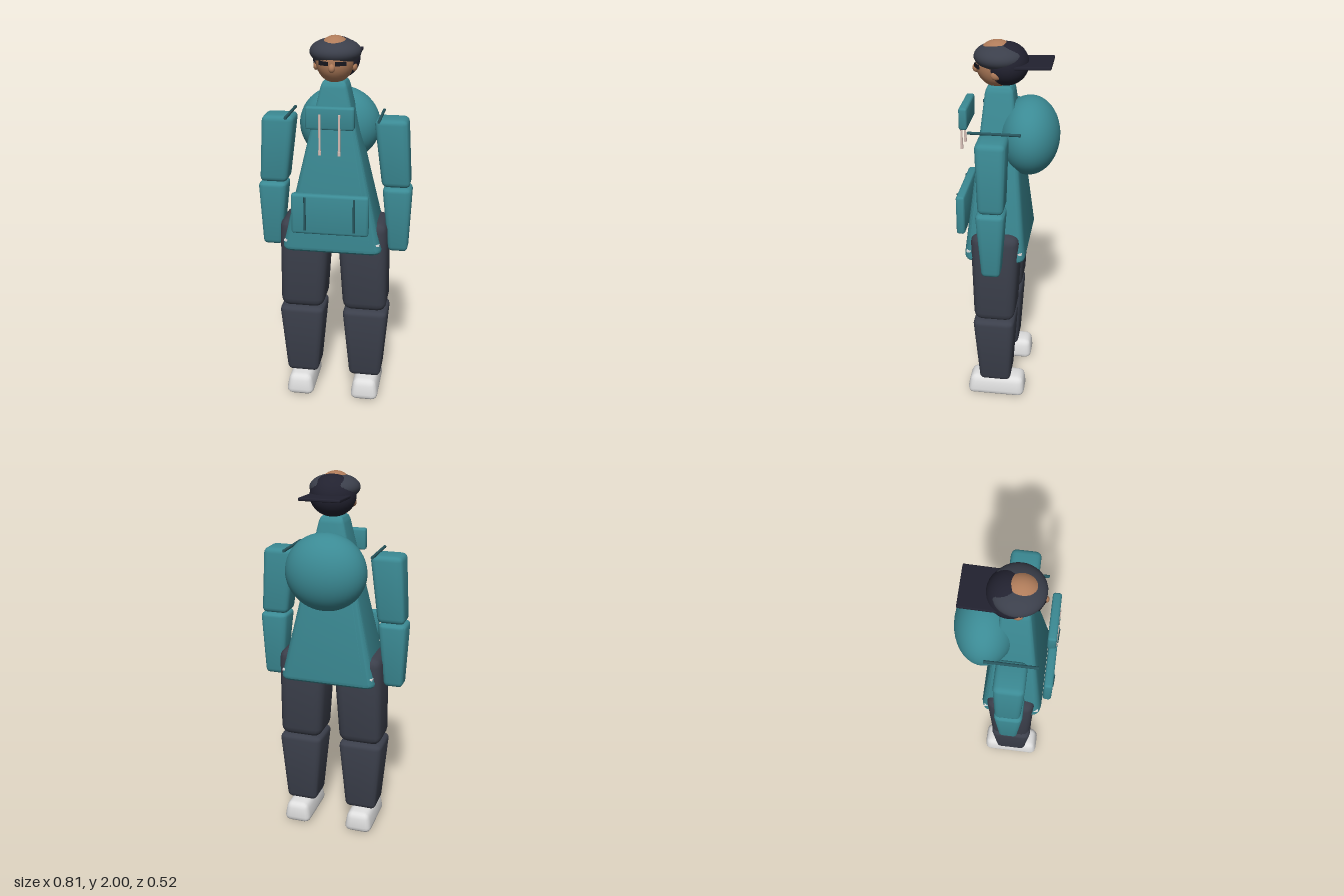
import * as THREE from 'three';
import { RoundedBoxGeometry } from 'three/addons/geometries/RoundedBoxGeometry.js';
import { mergeVertices, toCreasedNormals } from 'three/addons/utils/BufferGeometryUtils.js';

const colours = {
  teal: 0x3b8a94, darkTeal: 0x27565e, slate: 0x3b3f4b, navy: 0x222230,
  skin: 0xb07c5a, white: 0xdedede, cord: 0xdcc4bc, black: 0x17171f,
};

export function createModel() {
  const model = new THREE.Group();
  model.name = 'figure';
  const mats = {};
  for (const [name, color] of Object.entries(colours)) {
    mats[name] = new THREE.MeshStandardMaterial({ color });
    mats[name].name = name;
  }

  function add(name, geo, mat, x = 0, y = 0, z = 0) {
    const mesh = new THREE.Mesh(geo, mats[mat]);
    mesh.name = name;
    mesh.position.set(x, y, z);
    model.add(mesh);
    return mesh;
  }

  // Rounded block tapering from a lower to an upper section: [x0, x1, z0, z1]
  function block(name, mat, y0, y1, low, high, r) {
    const w = (low[1] - low[0] + high[1] - high[0]) / 2;
    const d = (low[3] - low[2] + high[3] - high[2]) / 2;
    const h = y1 - y0;
    let geo = new RoundedBoxGeometry(w, h, d, 2, r);
    const p = geo.attributes.position;
    for (let i = 0; i < p.count; i++) {
      const t = p.getY(i) / h + 0.5;
      const s = low.map((v, k) => v + (high[k] - v) * t);
      p.setXYZ(i,
        s[0] + (s[1] - s[0]) * (p.getX(i) / w + 0.5),
        y0 + h * t,
        s[2] + (s[3] - s[2]) * (p.getZ(i) / d + 0.5));
    }
    geo.deleteAttribute('normal');
    geo.deleteAttribute('uv');
    geo.clearGroups();
    geo = toCreasedNormals(mergeVertices(geo, 1e-5), 0.5);
    return add(name, geo, mat);
  }

  // Block on the left side, mirrored to the right by swapping x limits
  function pair(name, mat, y0, y1, low, high, r) {
    const flip = ([a, b, c, d]) => [-b, -a, c, d];
    block(name + 'Left', mat, y0, y1, low, high, r);
    block(name + 'Right', mat, y0, y1, flip(low), flip(high), r);
  }

  function ellipsoid(name, mat, x, y, z, rx, ry, rz, seg = 32) {
    const geo = new THREE.SphereGeometry(1, seg, seg * 0.75);
    geo.scale(rx, ry, rz);
    return add(name, geo, mat, x, y, z);
  }

  // Shoes and legs
  pair('shoe', 'white', 0.005, 0.125, [0.1, 0.262, -0.12, 0.208], [0.12, 0.242, -0.11, 0.187], 0.035);
  pair('lowerLeg', 'slate', 0.12, 0.535, [0.088, 0.262, -0.04, 0.13], [0.05, 0.297, -0.065, 0.16], 0.03);
  pair('upperLeg', 'slate', 0.535, 1.05, [0.052, 0.29, -0.064, 0.154], [0.018, 0.285, -0.088, 0.168], 0.05);

  // Arms
  pair('upperArm', 'teal', 1.235, 1.595, [0.25, 0.397, -0.025, 0.105], [0.205, 0.375, -0.033, 0.12], 0.028);
  pair('lowerArm', 'teal', 0.877, 1.235, [0.288, 0.39, -0.005, 0.09], [0.252, 0.405, -0.03, 0.118], 0.025);

  // Hooded top
  block('torso', 'teal', 0.883, 1.78, [-0.27, 0.27, -0.12, 0.207], [-0.062, 0.062, -0.028, 0.108], 0.035);
  add('hemCord', new THREE.BoxGeometry(0.504, 0.01, 0.29), 'white', 0, 0.945, 0.044);
  ellipsoid('hood', 'teal', 0, 1.513, -0.108, 0.215, 0.202, 0.156, 40);
  block('frontPocket', 'teal', 1.013, 1.228, [-0.2, 0.2, 0.204, 0.25], [-0.2, 0.2, 0.204, 0.25], 0.015);
  block('collarPanel', 'teal', 1.565, 1.68, [-0.122, 0.122, 0.195, 0.238], [-0.122, 0.122, 0.195, 0.238], 0.012);

  for (const s of [-1, 1]) {
    const side = s > 0 ? 'Left' : 'Right';
    // Pocket seams, drawstrings with tips, shoulder seams
    add('pocketSeam' + side, new THREE.CylinderGeometry(0.006, 0.006, 0.18, 8), 'darkTeal', s * 0.127, 1.125, 0.25);
    add('drawstring' + side, new THREE.CylinderGeometry(0.006, 0.006, 0.2, 10), 'cord', s * 0.049, 1.545, 0.237);
    add('drawstringTip' + side, new THREE.CylinderGeometry(0.008, 0.008, 0.022, 10), 'cord', s * 0.049, 1.448, 0.237);
    const seam = add('shoulderSeam' + side, new THREE.CylinderGeometry(0.008, 0.008, 0.26, 8), 'darkTeal', s * 0.236, 1.6, 0.04);
    seam.rotation.x = Math.PI / 2;
    // Ears and eyes
    ellipsoid('ear' + side, 'skin', s * 0.097, 1.847, 0.05, 0.014, 0.022, 0.026, 16);
    const eye = add('eye' + side, new THREE.BoxGeometry(0.055, 0.02, 0.009), 'black', s * 0.043, 1.877, 0.152);
    eye.rotation.y = s * 0.5;
  }

  // Head, cap and band
  ellipsoid('head', 'skin', 0, 1.883, 0.055, 0.098, 0.117, 0.11);
  ellipsoid('nose', 'skin', 0, 1.855, 0.162, 0.017, 0.022, 0.02, 16);
  ellipsoid('cap', 'navy', 0, 1.883, 0.01, 0.12, 0.107, 0.112);
  ellipsoid('capBand', 'slate', 0, 1.92, 0.043, 0.13, 0.067, 0.13);
  add('capBrim', new RoundedBoxGeometry(0.214, 0.016, 0.2, 2, 0.006), 'navy', 0, 1.891, -0.12).rotation.x = 0.04;

  return model;
}
